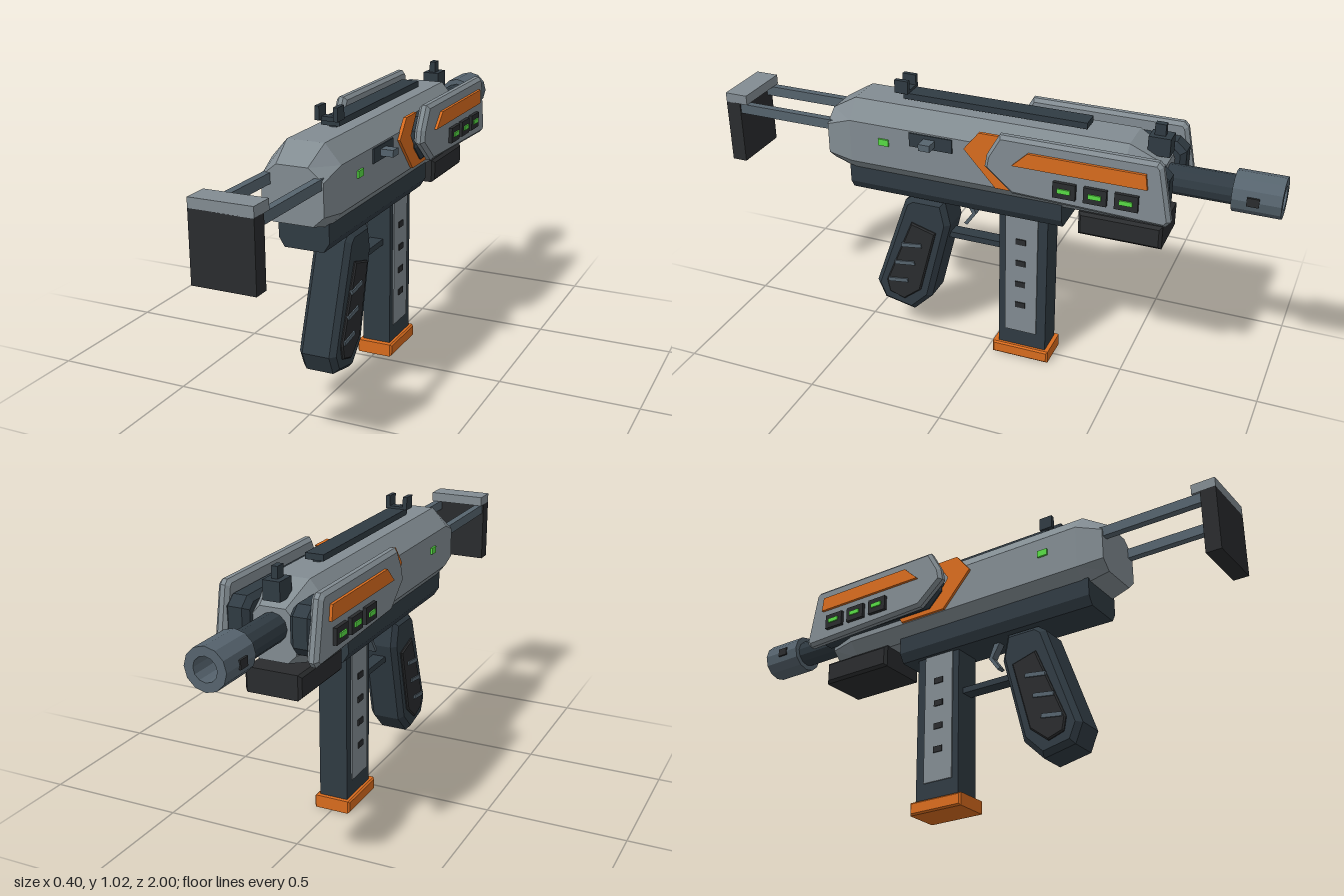
import * as THREE from 'three';

const mat = (color) => new THREE.MeshStandardMaterial({ color, flatShading: true });

export function createModel() {
  const model = new THREE.Group();
  const grey = mat(0x828c92), steel = mat(0x56646e), dark = mat(0x303b43);
  const black = mat(0x2a2c2e), orange = mat(0xd96c1e), green = mat(0x58dd45);

  function add(name, geometry, material, parent = model) {
    const mesh = new THREE.Mesh(geometry, material);
    mesh.name = name;
    parent.add(mesh);
    return mesh;
  }

  // Box given by its limits on each axis
  function box(name, material, [x0, x1], [y0, y1], [z0, z1]) {
    const g = new THREE.BoxGeometry(x1 - x0, y1 - y0, z1 - z0);
    return add(name, g.translate((x0 + x1) / 2, (y0 + y1) / 2, (z0 + z1) / 2), material);
  }

  // Box on one flank, from x0 out to x1
  function sideBox(name, material, side, x0, x1, y, z) {
    return box(name, material, side > 0 ? [x0, x1] : [-x1, -x0], y, z);
  }

  // Side outline of [z, y] points, given thickness across x with chamfered edges
  function plate(name, material, outline, centre, width, bevel = 0) {
    const g = new THREE.ExtrudeGeometry(new THREE.Shape(outline.map((p) => new THREE.Vector2(...p))), {
      depth: width - 2 * bevel, bevelEnabled: bevel > 0, bevelSize: bevel,
      bevelThickness: bevel, bevelOffset: -bevel, bevelSegments: 1,
    });
    g.translate(0, 0, -(width - 2 * bevel) / 2).rotateY(-Math.PI / 2).translate(centre, 0, 0);
    return add(name, g, material);
  }

  // Symmetric section: half-outline of [x, y] from bottom to top
  const section = (z, half) => [
    ...half.map(([x, y]) => [x, y, z]),
    ...half.slice().reverse().map(([x, y]) => [-x, y, z]),
  ];

  // Skin over sections running from -z to +z, closed at both ends
  function loft(name, material, sections) {
    const pos = [], n = sections[0].length, last = sections[sections.length - 1];
    const tri = (...p) => p.forEach((v) => pos.push(...v));
    for (let i = 0; i < sections.length - 1; i++) {
      for (let j = 0; j < n; j++) {
        const k = (j + 1) % n, a = sections[i], b = sections[i + 1];
        tri(a[j], a[k], b[k]);
        tri(a[j], b[k], b[j]);
      }
    }
    for (let j = 1; j < n - 1; j++) {
      tri(last[0], last[j], last[j + 1]);
      tri(sections[0][0], sections[0][j + 1], sections[0][j]);
    }
    const g = new THREE.BufferGeometry();
    g.setAttribute('position', new THREE.Float32BufferAttribute(pos, 3));
    g.computeVertexNormals();
    return add(name, g, material);
  }

  // Faceted receiver, tapering at both ends
  const full = [[0.08, 0.675], [0.122, 0.725], [0.122, 0.88], [0.066, 0.945]];
  loft('receiver', grey, [
    section(-0.62, [[0.05, 0.705], [0.08, 0.735], [0.08, 0.84], [0.045, 0.88]]),
    section(-0.5, full),
    section(0.49, full),
    section(0.585, [[0.07, 0.7], [0.108, 0.735], [0.108, 0.845], [0.055, 0.888]]),
  ]);

  // Lower frame and fore grip
  const frame = [[0.07, 0.593], [0.09, 0.625], [0.09, 0.69]];
  loft('lowerFrame', dark, [section(-0.285, frame), section(0.515, frame)]);
  plate('foreGrip', black, [[-0.635, 0.593], [-0.345, 0.593], [-0.345, 0.678], [-0.635, 0.678]], 0, 0.2, 0.01);

  // Barrel and hollow muzzle
  add('barrel', new THREE.CylinderGeometry(0.05, 0.05, 0.3, 12).rotateX(Math.PI / 2).translate(0, 0.815, -0.7), dark);
  const muzzle = [[0, 0.84], [0.07, 0.84], [0.07, 1], [0.04, 1], [0.04, 0.9], [0, 0.9]];
  add('muzzle', new THREE.LatheGeometry(muzzle.map((p) => new THREE.Vector2(...p)), 12)
    .rotateX(-Math.PI / 2).translate(0, 0.815, 0), steel);

  // Top rail and sights
  box('railFoot', dark, [-0.012, 0.012], [0.94, 0.956], [-0.33, 0.3]);
  box('topRail', dark, [-0.033, 0.033], [0.954, 0.976], [-0.345, 0.32]);
  box('rearSightBase', dark, [-0.033, 0.033], [0.97, 0.985], [0.3, 0.33]);
  for (const x of [-0.033, 0.033]) {
    box('rearSightPost', dark, [x - 0.008, x + 0.008], [0.975, 1.022], [0.3, 0.35]);
  }
  box('frontSightBase', dark, [-0.03, 0.03], [0.9, 0.965], [-0.625, -0.55]);
  box('frontSightPost', dark, [-0.011, 0.011], [0.96, 1.005], [-0.602, -0.565]);

  // Stock
  box('stockPad', black, [-0.107, 0.107], [0.63, 0.862], [0.945, 1]);
  box('stockCap', grey, [-0.107, 0.107], [0.86, 0.895], [0.915, 1]);

  // Pistol grip and trigger
  plate('pistolGrip', dark, [[0.29, 0.588], [0.165, 0.588], [0.145, 0.495], [0.225, 0.175],
    [0.3, 0.1], [0.42, 0.125], [0.45, 0.195], [0.32, 0.565]].reverse(), 0, 0.136, 0.018);
  box('triggerGuard', dark, [-0.025, 0.025], [0.43, 0.452], [-0.06, 0.18]);
  plate('trigger', steel, [[0.11, 0.6], [0.075, 0.54], [0.107, 0.495], [0.095, 0.49],
    [0.06, 0.54], [0.085, 0.6]], 0, 0.03);

  // Magazine
  box('magazine', dark, [-0.053, 0.053], [0.04, 0.62], [-0.225, -0.045]);
  plate('magazineBase', orange, [[-0.24, 0], [-0.025, 0], [-0.025, 0.047], [-0.24, 0.047]], 0, 0.137, 0.006);

  // Parts repeated on both flanks
  for (const s of [1, -1]) {
    sideBox('stockRod', steel, s, 0.076, 0.102, [0.822, 0.858], [0.5, 0.95]);

    plate('gripPanel', black, [[0.29, 0.487], [0.195, 0.46], [0.262, 0.205], [0.33, 0.15],
      [0.39, 0.17], [0.4, 0.22]].reverse(), s * 0.068, 0.018, 0.005);
    for (let i = 0; i < 3; i++) {
      const ridge = add('gripRidge', new THREE.BoxGeometry(0.01, 0.015, 0.08), steel);
      ridge.position.set(s * 0.077, 0.395 - i * 0.081, 0.29 + i * 0.03);
      ridge.rotation.x = 0.14;
    }

    sideBox('magazinePlate', grey, s, 0.05, 0.058, [0.11, 0.595], [-0.19, -0.07]);
    for (let i = 0; i < 4; i++) {
      const y = 0.49 - i * 0.088;
      sideBox('magazineSlot', black, s, 0.055, 0.062, [y - 0.011, y + 0.011], [-0.147, -0.11]);
    }

    // Chevron, spacer and armour panel
    plate('chevron', orange, [[0.055, 0.855], [0, 0.923], [-0.09, 0.923], [-0.04, 0.85], [-0.1, 0.765],
      [-0.26, 0.75], [-0.25, 0.728], [-0.06, 0.728]].reverse(), s * 0.126, 0.012);
    plate('panelSpacer', dark, [[-0.63, 0.745], [-0.12, 0.745], [-0.065, 0.8], [-0.065, 0.86],
      [-0.1, 0.905], [-0.62, 0.905], [-0.655, 0.875], [-0.655, 0.775]], s * 0.112, 0.085, 0.018);
    plate('armourPanel', grey, [[-0.66, 0.725], [-0.135, 0.742], [-0.037, 0.825], [-0.045, 0.87],
      [-0.09, 0.95], [-0.625, 0.95], [-0.64, 0.935], [-0.677, 0.745]], s * 0.16, 0.04, 0.012);
    plate('panelStripe', orange, [[-0.597, 0.855], [-0.14, 0.855], [-0.195, 0.908], [-0.59, 0.908]], s * 0.182, 0.016);
    for (const z of [-0.323, -0.428, -0.532]) {
      sideBox('lampHousing', black, s, 0.17, 0.193, [0.77, 0.826], [z - 0.039, z + 0.039]);
      sideBox('panelLamp', green, s, 0.18, 0.198, [0.79, 0.806], [z - 0.022, z + 0.022]);
    }

    sideBox('receiverLamp', green, s, 0.115, 0.129, [0.808, 0.832], [0.34, 0.378]);
    sideBox('muzzlePort', black, s, 0.06, 0.073, [0.8, 0.83], [-0.93, -0.89]);
  }

  // Ejection port and charging handle, left flank only
  box('ejectionPort', dark, [0.11, 0.127], [0.825, 0.875], [0.1, 0.26]);
  box('chargingHandle', steel, [0.12, 0.172], [0.838, 0.862], [0.163, 0.205]);

  return model;
}
